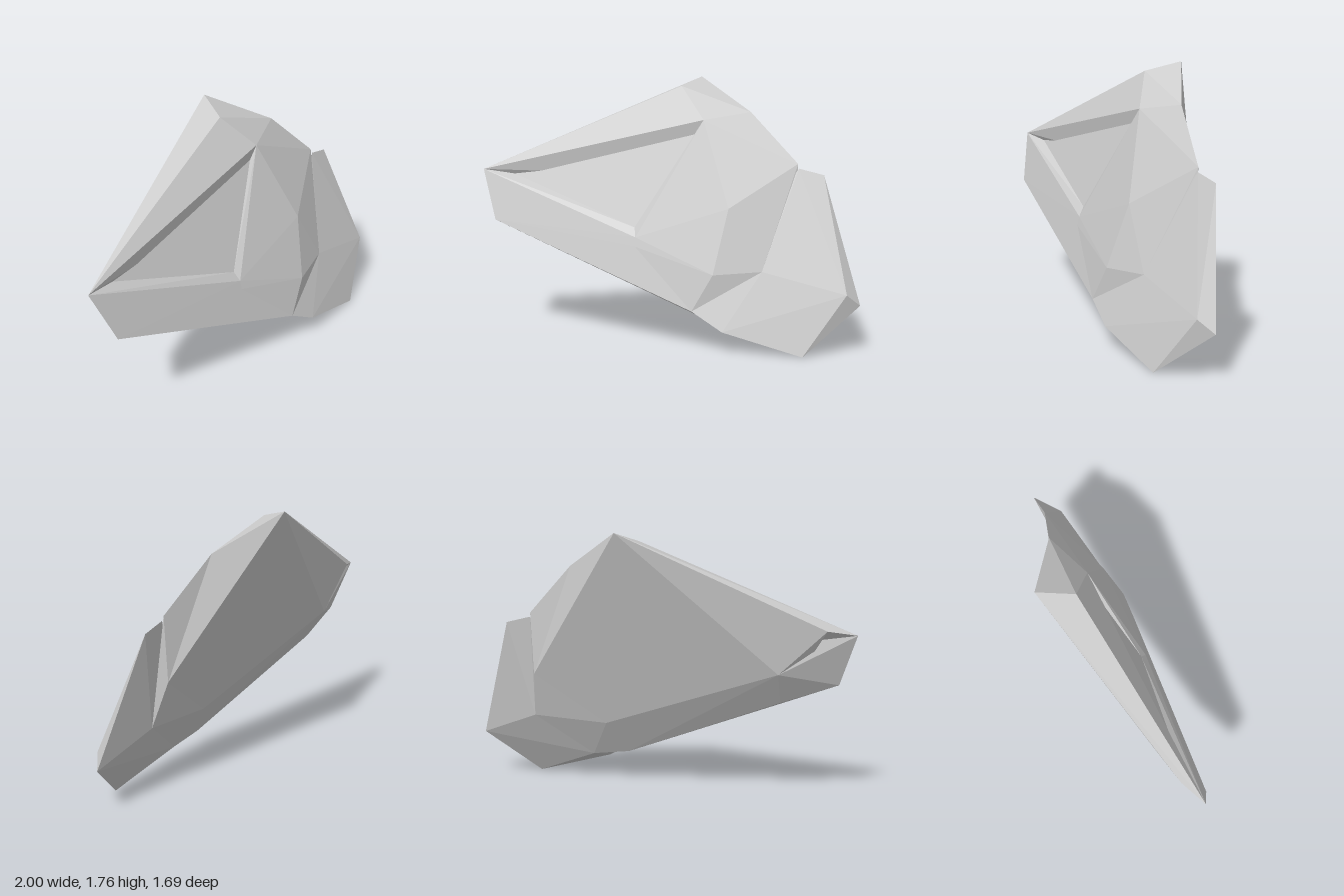
import * as THREE from 'three';
import { ConvexGeometry } from 'three/addons/geometries/ConvexGeometry.js';

// Named corners of the split stone
const P = {
  tip: [-1, 1.12, 0.84], tipLow: [-0.85, 0.78, 0.83], tipBack: [-0.92, 1.15, 0.66],
  peak: [-0.2, 1.76, -0.46], peakFront: [-0.12, 1.7, -0.23],
  shoulder: [0.26, 1.53, -0.53], shoulderLow: [0.57, 1.2, -0.68],
  ridgeTop: [0.12, 1.48, -0.24], ridgeLow: [-0.04, 0.71, 0.2], belly: [-0.03, 0.65, 0.21],
  cheek: [0.41, 0.92, -0.23], cheekLow: [0.43, 0.5, -0.09], foot: [0.35, 0.26, 0.02],
  // recessed front panel
  panelTip: [-0.86, 1.09, 0.67], panelTop: [0.08, 1.41, -0.23], panelLow: [-0.08, 0.77, 0.18],
  // underside and back
  under: [-0.6, 0.65, 0.55], underMid: [0.3, 0.21, -0.07], underEnd: [0.48, 0.18, -0.25],
  backTip: [-0.7, 0.86, 0.45], backMid: [0.12, 1.1, -0.33], backLow: [0.28, 0.44, -0.26],
  backSide: [0.55, 0.78, -0.67], seamBack: [0.65, 0.47, -0.62], seamFront: [0.6, 0.52, -0.36],
  // side slab
  slabNotch: [0.58, 1.17, -0.68], slabTop: [0.69, 1.13, -0.8], slabSide: [0.99, 0.39, -0.74],
  slabCorner: [1, 0.31, -0.85], slabFoot: [0.88, 0, -0.47], slabFront: [0.52, 0.14, -0.1],
};

// Each faceted chunk is the hull of its corners
const chunks = {
  core: 'panelTip panelTop panelLow tipBack backTip backMid backLow underMid under peak backSide',
  upperLedge: 'tip peak peakFront ridgeTop panelTip panelTop tipBack shoulder backMid',
  rightFace: 'ridgeTop ridgeLow panelTop panelLow shoulder shoulderLow backSide cheek cheekLow foot belly backMid backLow underEnd underMid',
  seamFace: 'cheek cheekLow seamFront shoulderLow backSide seamBack foot underEnd backLow',
  backShoulder: 'peak shoulder backSide backMid ridgeTop',
  lowerLedge: 'tip tipLow belly ridgeLow panelTip panelLow under underMid backTip foot backLow',
  sideSlab: 'seamFront slabNotch slabTop slabSide slabCorner slabFoot slabFront foot underEnd seamBack',
};

export function createModel() {
  const group = new THREE.Group();
  group.name = 'rock';
  const material = new THREE.MeshStandardMaterial({ color: 0xcccccc, flatShading: true });
  for (const [name, corners] of Object.entries(chunks)) {
    const points = corners.split(' ').map((key) => new THREE.Vector3(...P[key]));
    const mesh = new THREE.Mesh(new ConvexGeometry(points), material);
    mesh.name = name;
    group.add(mesh);
  }
  return group;
}
